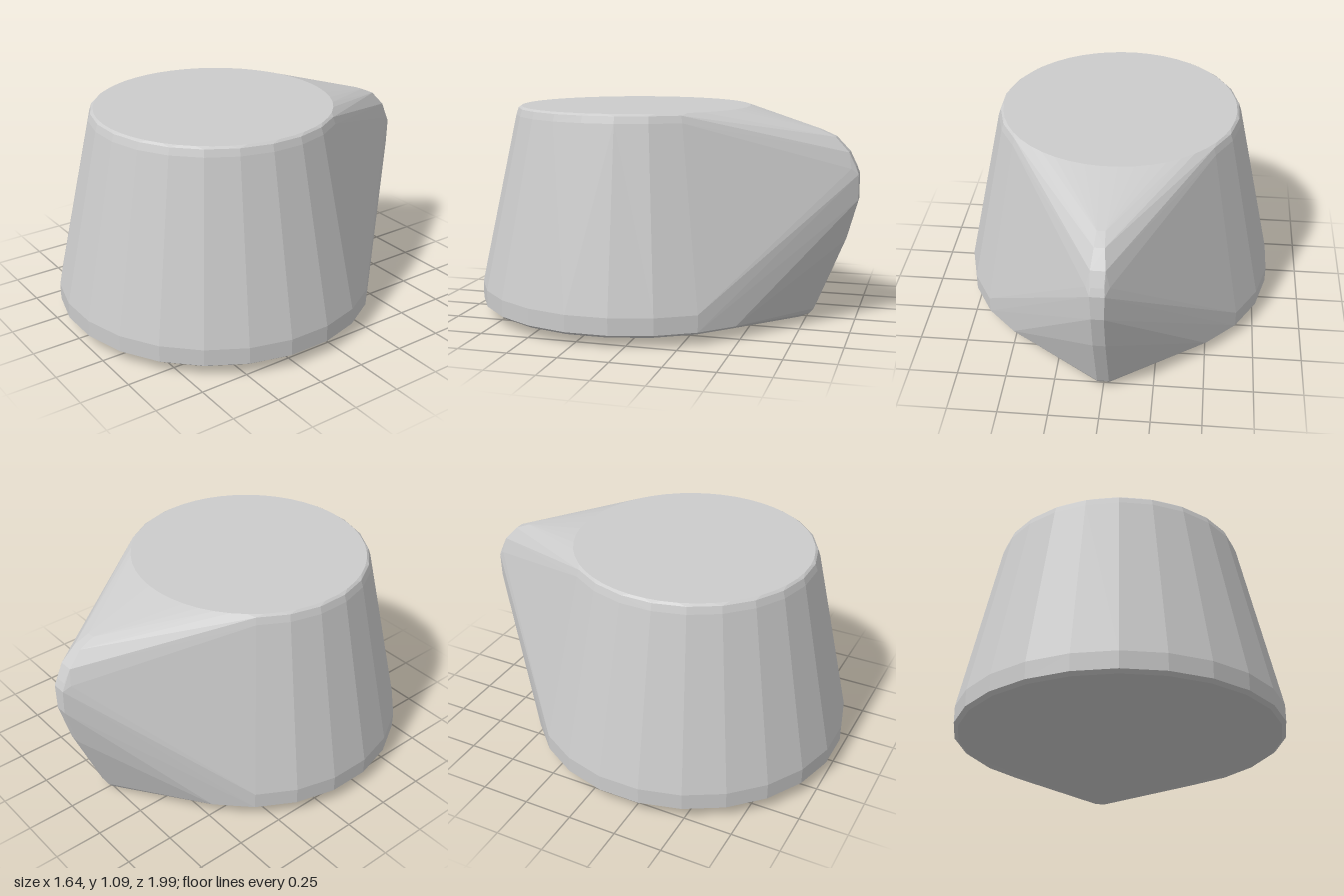
import * as THREE from 'three';
import { ConvexGeometry } from 'three/addons/geometries/ConvexGeometry.js';

const CENTER_Z = 0.175;

// Horizontal ring of points around the body axis
function ring(radius, y, sides) {
  return Array.from({ length: sides }, (_, i) => {
    const a = ((i + 0.5) / sides) * Math.PI * 2;
    return new THREE.Vector3(Math.sin(a) * radius, y, CENTER_Z + Math.cos(a) * radius);
  });
}

export function createModel() {
  const group = new THREE.Group();
  group.name = 'taperedSpoutBody';

  // Tapered round body with a narrow bevel at both rims
  const points = [
    ...ring(0.603, 1.085, 48),
    ...ring(0.618, 1.075, 24),
    ...ring(0.63, 1.04, 24),
    ...ring(0.826, 0.15, 24),
    ...ring(0.826, 0.065, 24),
    ...ring(0.805, 0.05, 24),
  ];

  // Rounded rear spout, from upper ridge to low keel: [half width, y, z]
  const spout = [
    [0.02, 0.98, -0.8], [0.025, 0.945, -0.88], [0.035, 0.87, -0.95],
    [0.055, 0.79, -0.965], [0.03, 0.8, -0.985], [0.035, 0.76, -1],
    [0.06, 0.68, -0.97], [0.03, 0.63, -1], [0.03, 0.42, -0.942],
    [0.03, 0.05, -0.79], [0.03, 0.025, -0.77], [0.025, 0, -0.72],
  ];
  for (const [w, y, z] of spout) {
    for (const side of [-1, 1]) points.push(new THREE.Vector3(side * w, y, z));
  }

  // Skin stretched over the body and spout
  const material = new THREE.MeshStandardMaterial({ color: 0xcccccc, flatShading: true });
  const body = new THREE.Mesh(new ConvexGeometry(points), material);
  body.name = 'body';
  group.add(body);
  return group;
}
